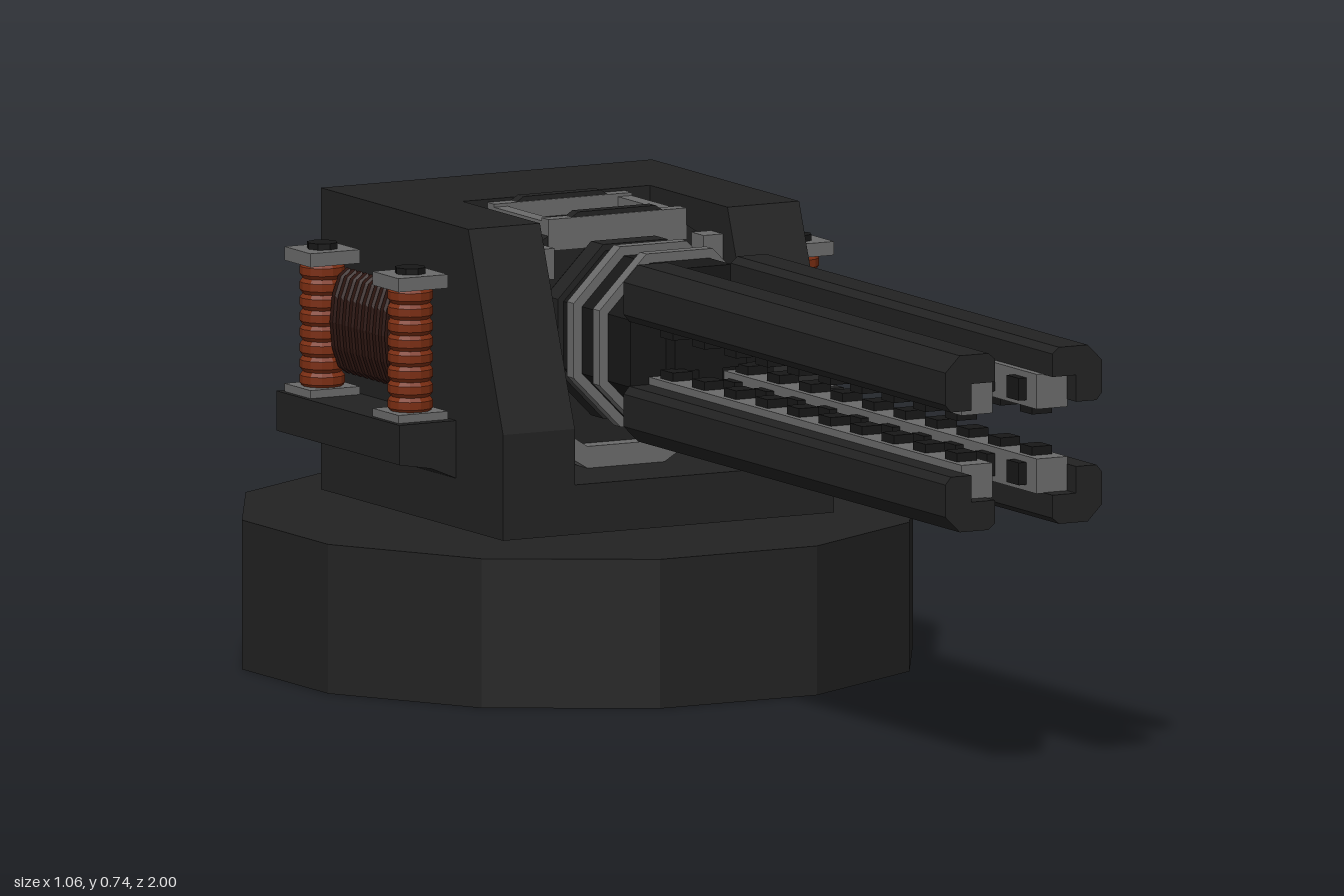
import * as THREE from 'three';

const mat = (color) => new THREE.MeshStandardMaterial({ color, flatShading: true });
const AXIS_Y = 0.553; // height of the barrel axis

export function createModel() {
  const root = new THREE.Group();
  const dark = mat(0x222222), black = mat(0x171717), steel = mat(0x6a6a6a);
  const copper = mat(0x7a2d12), brown = mat(0x2c1510);

  const add = (name, geo, material, parent = root) => {
    const m = new THREE.Mesh(geo, material);
    m.name = name;
    parent.add(m);
    return m;
  };
  // box from its minimum and maximum on each axis
  const box = (name, x, y, z, material, parent) => add(name,
    new THREE.BoxGeometry(Math.abs(x[1] - x[0]), Math.abs(y[1] - y[0]), Math.abs(z[1] - z[0]))
      .translate((x[0] + x[1]) / 2, (y[0] + y[1]) / 2, (z[0] + z[1]) / 2), material, parent);
  const extrude = (pts, depth) => new THREE.ExtrudeGeometry(
    new THREE.Shape(pts.map((p) => new THREE.Vector2(...p))), { depth, bevelEnabled: false });
  // octagonal prism along z, measured across its flats
  const octagon = (name, half, z0, z1, material) => {
    const r = half / Math.cos(Math.PI / 8);
    return add(name, new THREE.CylinderGeometry(r, r, z1 - z0, 8, 1, false, Math.PI / 8)
      .rotateX(Math.PI / 2).translate(0, AXIS_Y, (z0 + z1) / 2), material);
  };

  // twelve-sided base
  add('base', new THREE.CylinderGeometry(0.549, 0.549, 0.24, 12, 1, false, Math.PI / 12)
    .translate(0, 0.12, -0.47), dark);

  // housing: two sloped cheeks, a back block and a floor around the open slot
  const cheek = [[-0.77, 0.25], [-0.17, 0.25], [-0.17, 0.42], [-0.285, 0.735], [-0.77, 0.735]];
  for (const x of [0.3, -0.17]) {
    add('housingCheek', extrude(cheek, 0.13).rotateY(-Math.PI / 2).translate(x, 0, 0), dark);
  }
  box('housingBack', [-0.17, 0.17], [0.25, 0.735], [-0.77, -0.54], dark);
  box('housingFloor', [-0.17, 0.17], [0.25, 0.33], [-0.54, -0.17], dark);

  // breech drum inside the slot
  const drum = [[-0.07, 0.33], [0.07, 0.33], [0.17, 0.39], [0.17, 0.675],
    [0.07, 0.738], [-0.07, 0.738], [-0.17, 0.675], [-0.17, 0.39]];
  for (const z of [-0.54, -0.36]) add('drumFlange', extrude(drum, 0.02).translate(0, 0, z), dark);
  octagon('drumCore', 0.15, -0.52, -0.36, black);
  const cradle = [[-0.17, 0.43], [-0.17, 0.39], [-0.07, 0.33], [0.07, 0.33], [0.17, 0.39],
    [0.17, 0.43], [0.07, 0.365], [-0.07, 0.365]];
  add('cradle', extrude(cradle, 0.03).translate(0, 0, -0.34), steel);
  for (const s of [1, -1]) {
    box('breechFrameSide', [s * 0.1, s * 0.125], [0.64, 0.725], [-0.53, -0.35], steel);
    const z = -0.44 + s * 0.09;
    box('breechFrameEnd', [-0.125, 0.125], [0.68, 0.73], [z - 0.012, z + 0.012], steel);
    box('cradlePad', [s * 0.135, s * 0.17], [0.64, 0.69], [-0.34, -0.3], steel);
  }

  // barrel neck with its collars
  octagon('barrelNeck', 0.13, -0.36, -0.06, black);
  for (const z of [-0.145, -0.23]) octagon('barrelCollar', 0.145, z - 0.011, z + 0.011, steel);
  octagon('rearCollar', 0.14, -0.32, -0.28, dark);
  box('boreUpright', [-0.022, 0.022], [AXIS_Y - 0.065, AXIS_Y + 0.065], [-0.06, -0.03], black);
  box('boreCross', [-0.065, 0.065], [AXIS_Y - 0.03, AXIS_Y + 0.03], [-0.06, -0.03], black);

  // four rails: chamfered angle section, inner conductor and teeth
  const angle = [[0.052, 0.095], [0.052, 0.132], [0.064, 0.142], [0.116, 0.142], [0.142, 0.116],
    [0.142, 0.064], [0.132, 0.052], [0.095, 0.052], [0.095, 0.095]];
  for (const sx of [1, -1]) for (const sy of [1, -1]) {
    const rail = new THREE.Group();
    rail.name = 'rail';
    rail.position.y = AXIS_Y;
    root.add(rail);
    add('railCover', extrude(angle.map(([x, y]) => [x * sx, y * sy]), 1.06)
      .translate(0, 0, -0.06), dark, rail);
    box('railConductor', [sx * 0.04, sx * 0.096], [sy * 0.04, sy * 0.096], [-0.06, 0.97], steel, rail);
    for (let i = 0; i < 10; i++) {
      const z = [-0.045 + i * 0.104 + 0.005, i * 0.104];
      box('railToothSide', [sx * 0.026, sx * 0.042], [sy * 0.05, sy * 0.086], z, black, rail);
      box('railToothInner', [sx * 0.05, sx * 0.086], [sy * 0.026, sy * 0.042], z, black, rail);
    }
  }

  // ridged coil profile, turned about y and centred on the origin
  const coil = (r, length, turns) => {
    const pts = [new THREE.Vector2(0, -length / 2)];
    const step = length / turns;
    for (let i = 0; i < turns; i++) {
      const y = -length / 2 + i * step;
      pts.push(new THREE.Vector2(r * 0.87, y), new THREE.Vector2(r, y + step * 0.25),
        new THREE.Vector2(r, y + step * 0.75));
    }
    pts.push(new THREE.Vector2(r * 0.87, length / 2), new THREE.Vector2(0, length / 2));
    return new THREE.LatheGeometry(pts, 12);
  };

  // coil packs on both sides
  const bracket = [[0.29, 0.325], [0.345, 0.348], [0.403, 0.358], [0.403, 0.422], [0.29, 0.422]];
  for (const s of [1, -1]) {
    const pack = new THREE.Group();
    pack.name = s > 0 ? 'leftCoilPack' : 'rightCoilPack';
    root.add(pack);
    add('bracket', extrude(bracket.map(([x, y]) => [x * s, y]), 0.405)
      .translate(0, 0, -0.73), dark, pack);
    for (const z of [-0.385, -0.675]) {
      const x = s * 0.35;
      add('uprightCoil', coil(0.036, 0.2, 8).translate(x, 0.533, z), copper, pack);
      box('coilTopCap', [x - 0.045, x + 0.045], [0.633, 0.655], [z - 0.043, z + 0.043], steel, pack);
      box('coilFoot', [x - 0.045, x + 0.045], [0.42, 0.435], [z - 0.043, z + 0.043], steel, pack);
      add('coilBolt', new THREE.CylinderGeometry(0.025, 0.025, 0.01, 8)
        .translate(x, 0.66, z), black, pack);
    }
    // flattened coil lying between the upright pair
    add('crossCoil', coil(0.085, 0.22, 11).rotateX(Math.PI / 2).scale(0.36, 1, 1)
      .translate(s * 0.328, 0.543, -0.53), brown, pack);
  }
  return root;
}
